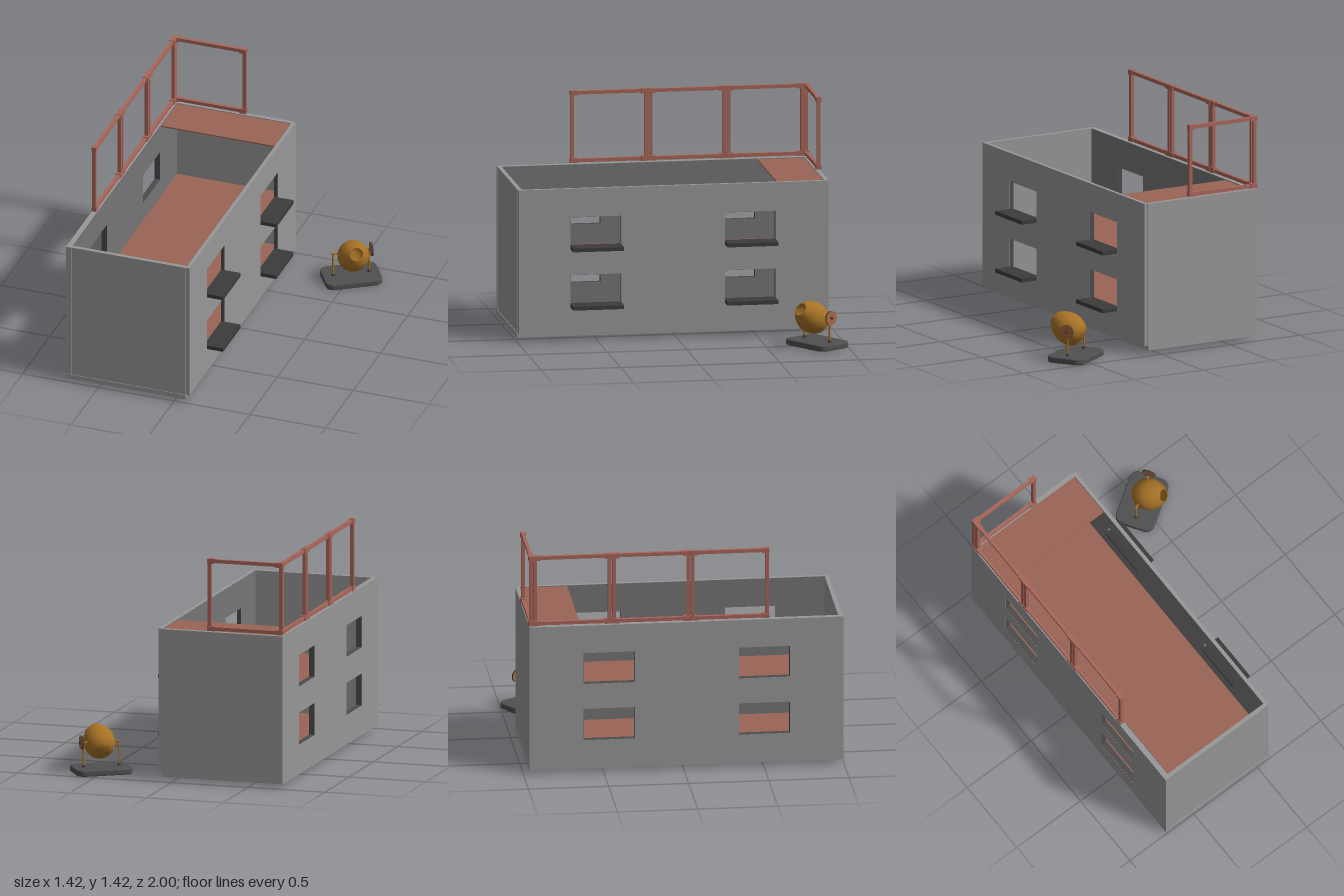
import * as THREE from 'three';
import { RoundedBoxGeometry } from 'three/addons/geometries/RoundedBoxGeometry.js';

const mat = (color, side = THREE.FrontSide) => new THREE.MeshStandardMaterial({ color, side });
const grey = mat(0x979797);
const liningFace = mat(0x757575);
const reveal = mat(0x4c4c4c);
const dark = mat(0x3b3b3b);
const brown = mat(0x9a6455);
const rail = mat(0xa8665a);
const orange = mat(0xa77226);
const drumMat = mat(0xa77226, THREE.DoubleSide);
const wheelMat = mat(0xa5683f);
const plate = mat(0x505050);

function add(parent, name, geometry, material, x = 0, y = 0, z = 0) {
  const mesh = new THREE.Mesh(geometry, material);
  mesh.name = name;
  mesh.position.set(x, y, z);
  parent.add(mesh);
  return mesh;
}

// Box given by its limits on each axis
function span(parent, name, material, [x0, x1], [y0, y1], [z0, z1]) {
  return add(parent, name, new THREE.BoxGeometry(x1 - x0, y1 - y0, z1 - z0), material,
    (x0 + x1) / 2, (y0 + y1) / 2, (z0 + z1) / 2);
}

function rectangle(target, x0, x1, y0, y1) {
  target.moveTo(x0, y0);
  target.lineTo(x1, y0);
  target.lineTo(x1, y1);
  target.lineTo(x0, y1);
  target.closePath();
  return target;
}

const windowsZ = [[0.345, 0.665], [-0.625, -0.305]];
const windowsY = [[0.21, 0.415], [0.578, 0.78]];

// Panel with four window openings, drawn in (-z, y) and extruded along x;
// inset shrinks both the outline and the openings
function windowPanel(parent, name, material, [x0, x1], [z0, z1], inset = 0) {
  const shape = rectangle(new THREE.Shape(), inset - z1, -z0 - inset, 0.052 + inset, 0.96 - inset);
  for (const [a, b] of windowsZ)
    for (const [c, d] of windowsY)
      shape.holes.push(rectangle(new THREE.Path(), inset - b, -a - inset, c + inset, d - inset));
  const geometry = new THREE.ExtrudeGeometry(shape, { depth: x1 - x0, bevelEnabled: false });
  geometry.rotateY(Math.PI / 2);
  add(parent, name, geometry, material, x0, 0, 0);
}

function createBuilding() {
  const g = new THREE.Group();
  g.name = 'building';
  span(g, 'baseSlab', grey, [-0.715, 0.073], [0.025, 0.055], [-0.963, 0.998]);
  // Long walls, each with a darker lining on the inside and around the windows
  const lining = [liningFace, reveal];
  windowPanel(g, 'rightWall', grey, [0.074, 0.097], [-0.953, 0.99]);
  windowPanel(g, 'rightWallLining', lining, [0.072, 0.096], [-0.953, 0.99], 0.002);
  windowPanel(g, 'leftWall', grey, [-0.715, -0.68], [-0.963, 0.996]);
  windowPanel(g, 'leftWallLining', lining, [-0.714, -0.678], [-0.963, 0.996], 0.002);
  span(g, 'frontWall', grey, [-0.705, 0.074], [0.055, 0.96], [0.968, 0.994]);
  span(g, 'backWall', grey, [-0.705, 0.074], [0.055, 0.96], [-0.962, -0.934]);
  // Ground floor, upper floor and the partial roof
  const inside = [-0.679, 0.073];
  const length = [-0.934, 0.968];
  span(g, 'groundFloor', brown, inside, [0.055, 0.075], length);
  span(g, 'upperFloorSlab', liningFace, inside, [0.42, 0.448], length);
  span(g, 'upperFloor', brown, inside, [0.448, 0.455], length);
  span(g, 'roofPanel', brown, inside, [0.947, 0.955], [-0.934, -0.64]);
  // Window ledges on the right wall
  for (const z of windowsZ)
    for (const [y] of windowsY) span(g, 'windowLedge', dark, [0.074, 0.202], [y, y + 0.024], z);
  return g;
}

// Square railing frame along +x with a bracket at each corner
function createRailing() {
  const g = new THREE.Group();
  g.name = 'railingPanel';
  const w = 0.49, t = 0.022, low = 0.97, high = 1.42;
  for (const y of [low, high - t])
    span(g, 'rail', rail, [0, w], [y, y + t], [-t / 2, t / 2]);
  for (const x of [0.002, w - t - 0.002])
    span(g, 'post', rail, [x, x + t], [low, high], [-t / 2, t / 2]);
  for (const x of [0, w - 0.045])
    for (const y of [low - 0.003, high - 0.027])
      span(g, 'cornerBracket', rail, [x, x + 0.045], [y, y + 0.03], [-0.016, 0.016]);
  return g;
}

function createRailings() {
  const g = new THREE.Group();
  g.name = 'roofRailing';
  for (let i = 0; i < 3; i++) {
    const side = createRailing();
    side.rotation.y = Math.PI / 2;
    side.position.set(-0.698, 0, 0.535 - i * 0.4915);
    g.add(side);
  }
  const back = createRailing();
  back.position.set(-0.714, 0, -0.95);
  g.add(back);
  return g;
}

function createMixer() {
  const g = new THREE.Group();
  g.name = 'mixer';
  // Base plate with rounded corners
  const outline = new THREE.Shape();
  const a = 0.172, b = 0.117, r = 0.045;
  outline.absarc(a - r, b - r, r, 0, Math.PI / 2);
  outline.absarc(r - a, b - r, r, Math.PI / 2, Math.PI);
  outline.absarc(r - a, r - b, r, Math.PI, Math.PI * 1.5);
  outline.absarc(a - r, r - b, r, Math.PI * 1.5, Math.PI * 2);
  const slab = new THREE.ExtrudeGeometry(outline,
    { depth: 0.022, bevelSize: 0.008, bevelThickness: 0.008, bevelSegments: 3 });
  slab.rotateX(-Math.PI / 2);
  add(g, 'basePlate', slab, plate, 0, 0.008, 0);

  // Two stands, each with a short axle stub reaching into the drum
  for (const side of [-1, 1]) {
    const x = side * 0.115;
    add(g, 'stand', new THREE.CylinderGeometry(0.006, 0.006, 0.16, 12), orange, x, 0.115, 0);
    add(g, 'standFoot', new THREE.CylinderGeometry(0.009, 0.012, 0.014, 12), dark, x, 0.044, 0);
    const stub = new THREE.CylinderGeometry(0.006, 0.006, 0.046, 12).rotateZ(Math.PI / 2);
    add(g, 'axleStub', stub, orange, side * 0.1, 0.192, 0);
  }

  // Hand wheel: disc with a dark edge, and its hub
  const disc = new THREE.CylinderGeometry(0.044, 0.044, 0.01, 32).rotateZ(-Math.PI / 2);
  add(g, 'handWheel', disc, [dark, wheelMat, wheelMat], 0.128, 0.194, 0);
  add(g, 'wheelHub', new RoundedBoxGeometry(0.03, 0.014, 0.014, 2, 0.003), dark, 0.128, 0.194, 0);

  // Tilted drum, outer skin followed by the inner skin from the mouth
  const outer = new THREE.SplineCurve([[0, -0.1], [0.055, -0.09], [0.086, -0.055], [0.098, 0],
    [0.092, 0.042], [0.072, 0.083], [0.043, 0.118]].map(p => new THREE.Vector2(...p))).getPoints(28);
  const inner = outer.map(p => new THREE.Vector2(Math.max(p.x - 0.006, 0), p.y * 0.95 + 0.006)).reverse();
  const drum = add(g, 'drum', new THREE.LatheGeometry([...outer, ...inner], 40), drumMat, 0.003, 0.185, 0.042);
  drum.rotation.x = THREE.MathUtils.degToRad(57);

  g.position.set(0.511, 0, -0.8165);
  g.rotation.y = 0.576;
  return g;
}

export function createModel() {
  const model = new THREE.Group();
  model.name = 'buildingWithMixer';
  model.add(createBuilding(), createRailings(), createMixer());
  return model;
}
